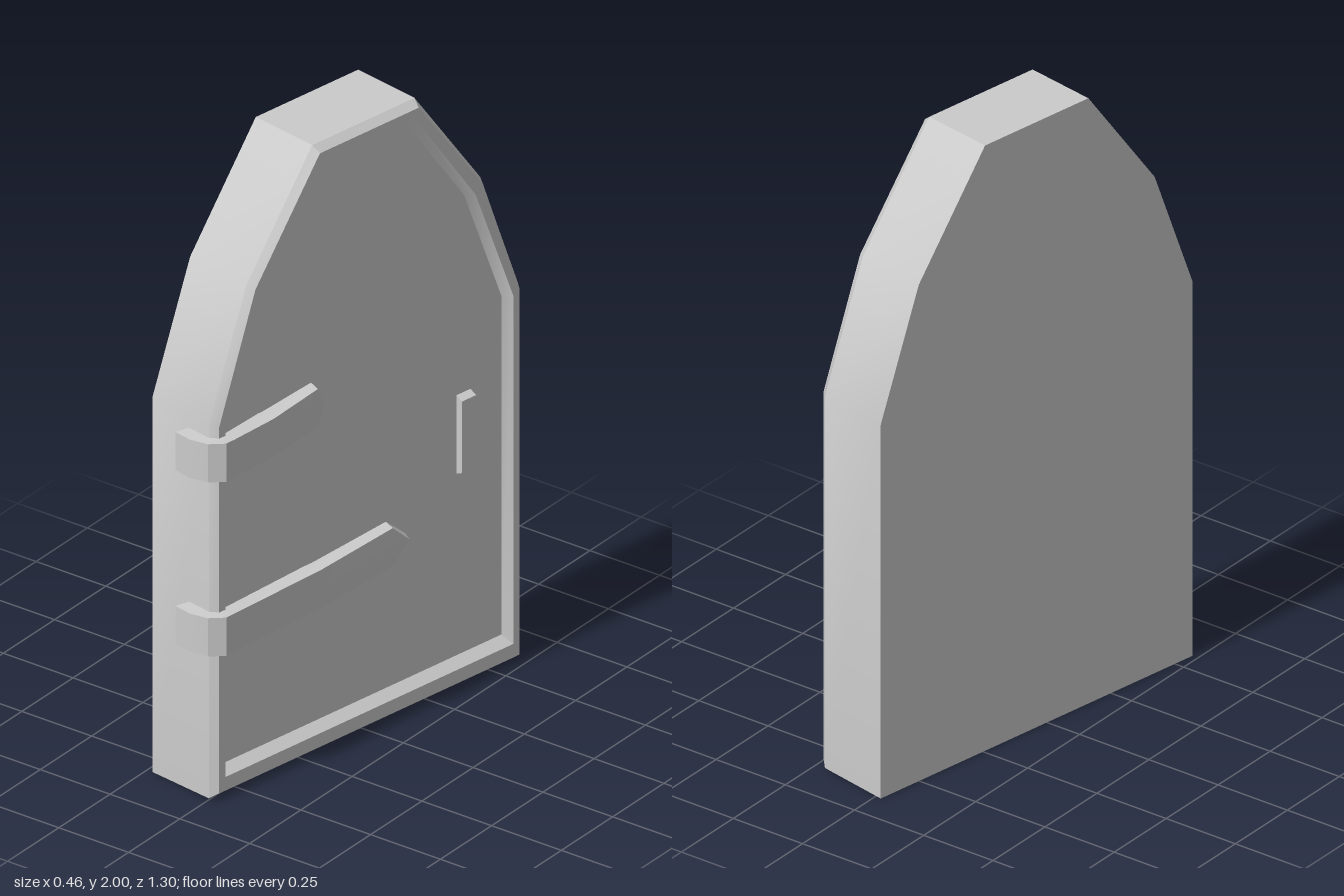
import * as THREE from 'three';
import { toCreasedNormals } from 'three/addons/utils/BufferGeometryUtils.js';

// Skin a grid of points; outward side is (row direction) x (column direction).
function skin(rows, { closed = false, caps = false } = {}) {
  const n = rows[0].length;
  const index = [];
  for (let i = 0; i < rows.length - 1; i++) {
    for (let j = 0; j < (closed ? n : n - 1); j++) {
      const k = (j + 1) % n;
      const a = i * n + j, b = (i + 1) * n + j, c = (i + 1) * n + k, d = i * n + k;
      index.push(a, b, c, a, c, d);
    }
  }
  if (caps) {
    const last = (rows.length - 1) * n;
    for (let j = 1; j < n - 1; j++) {
      index.push(0, j, j + 1, last, last + j + 1, last + j);
    }
  }
  const geometry = new THREE.BufferGeometry();
  geometry.setAttribute('position', new THREE.Float32BufferAttribute(rows.flat(2), 3));
  geometry.setIndex(index);
  return toCreasedNormals(geometry, 0.5);
}

// Arched door outline at depth z, listed clockwise seen from the front.
function archRing(z, bottom, [sideX, sideY], [shoulderX, shoulderY], [topX, topY]) {
  const right = [[topX, topY], [shoulderX, shoulderY], [sideX, sideY], [sideX, bottom]];
  const left = right.map(([x, y]) => [-x, y]).reverse();
  return [...right, ...left].map(([x, y]) => [x, y, z]);
}

// Hinge strap: bends round the door edge, then runs over the panel to a pointed tip.
function strapGeometry(face, tip) {
  const y0 = face[0][2];
  // outer x, outer z, base x, base z, centre y
  const stations = [
    [-0.661, 0.139, -0.61, 0.155, y0],
    [-0.663, 0.2, -0.61, 0.2, y0],
    [-0.645, 0.258, -0.605, 0.235, y0],
    [-0.604, 0.292, -0.6, 0.25, y0],
    ...face.map(([x, z, y], i) => [x, z, x, i ? 0.226 : 0.25, y]),
  ];
  const half = 0.063, baseHalf = 0.067;
  const rows = stations.map(([x, z, bx, bz, y]) => [
    [bx, y - baseHalf, bz], [x, y - half, z], [x, y, z], [x, y + half, z], [bx, y + baseHalf, bz],
  ]);
  // close the wrapped end
  const [, , sx, sz, sy] = stations[0];
  rows.unshift([-1, -1, 0, 1, 1].map((s) => [sx, sy + s * baseHalf, sz]));
  // push the last row into a point, then bevel it down to the panel
  const end = rows[rows.length - 1];
  end[2][0] = tip - 0.018;
  const low = [end[0][0] + 0.008, end[0][1], 0.226];
  const high = [end[4][0] + 0.008, end[4][1], 0.226];
  rows.push([low, low, [tip, end[2][1], 0.226], high, high]);
  return skin(rows);
}

export function createModel() {
  const model = new THREE.Group();
  model.name = 'archedDoor';
  const material = new THREE.MeshStandardMaterial({ color: 0xcccccc });
  const thin = new THREE.MeshStandardMaterial({ color: 0xcccccc, side: THREE.DoubleSide });

  // The door is built facing +z and then swung to its open angle
  const door = new THREE.Group();
  door.name = 'door';
  door.rotation.y = THREE.MathUtils.degToRad(80.2);
  door.position.set(-0.125, 0, -0.04);
  model.add(door);

  const add = (name, geometry, mat = material) => {
    const mesh = new THREE.Mesh(geometry, mat);
    mesh.name = name;
    door.add(mesh);
  };

  // Slab with chamfered edge, raised rim and sunken panel
  add('doorSlab', skin([
    archRing(0, 0, [0.619, 1.235], [0.468, 1.64], [0.205, 2]),
    archRing(0.235, 0.006, [0.619, 1.235], [0.468, 1.64], [0.205, 2]),
    archRing(0.26, 0.026, [0.602, 1.23], [0.456, 1.63], [0.198, 1.98]),
    archRing(0.26, 0.07, [0.577, 1.217], [0.426, 1.607], [0.186, 1.945]),
    archRing(0.228, 0.095, [0.56, 1.21], [0.41, 1.6], [0.178, 1.922]),
  ], { closed: true, caps: true }));

  // Hinge straps: points along the face as x, z, centre y
  add('upperHingeStrap', strapGeometry([
    [-0.569, 0.291, 1.128], [-0.4, 0.277, 1.126], [-0.21, 0.264, 1.147],
  ], -0.163), thin);
  add('lowerHingeStrap', strapGeometry([
    [-0.569, 0.291, 0.555], [-0.2, 0.272, 0.553], [0.09, 0.264, 0.575],
  ], 0.176), thin);

  // Handle: flat bar with sloped ends
  const profile = new THREE.Shape([
    [0.22, 0.69], [0.252, 0.704], [0.252, 0.94], [0.22, 0.955],
  ].map(([x, y]) => new THREE.Vector2(x, y)));
  const handle = new THREE.ExtrudeGeometry(profile, { depth: 0.056, bevelEnabled: false });
  handle.rotateY(-Math.PI / 2).translate(0.436, 0, 0);
  add('handle', handle);

  return model;
}
